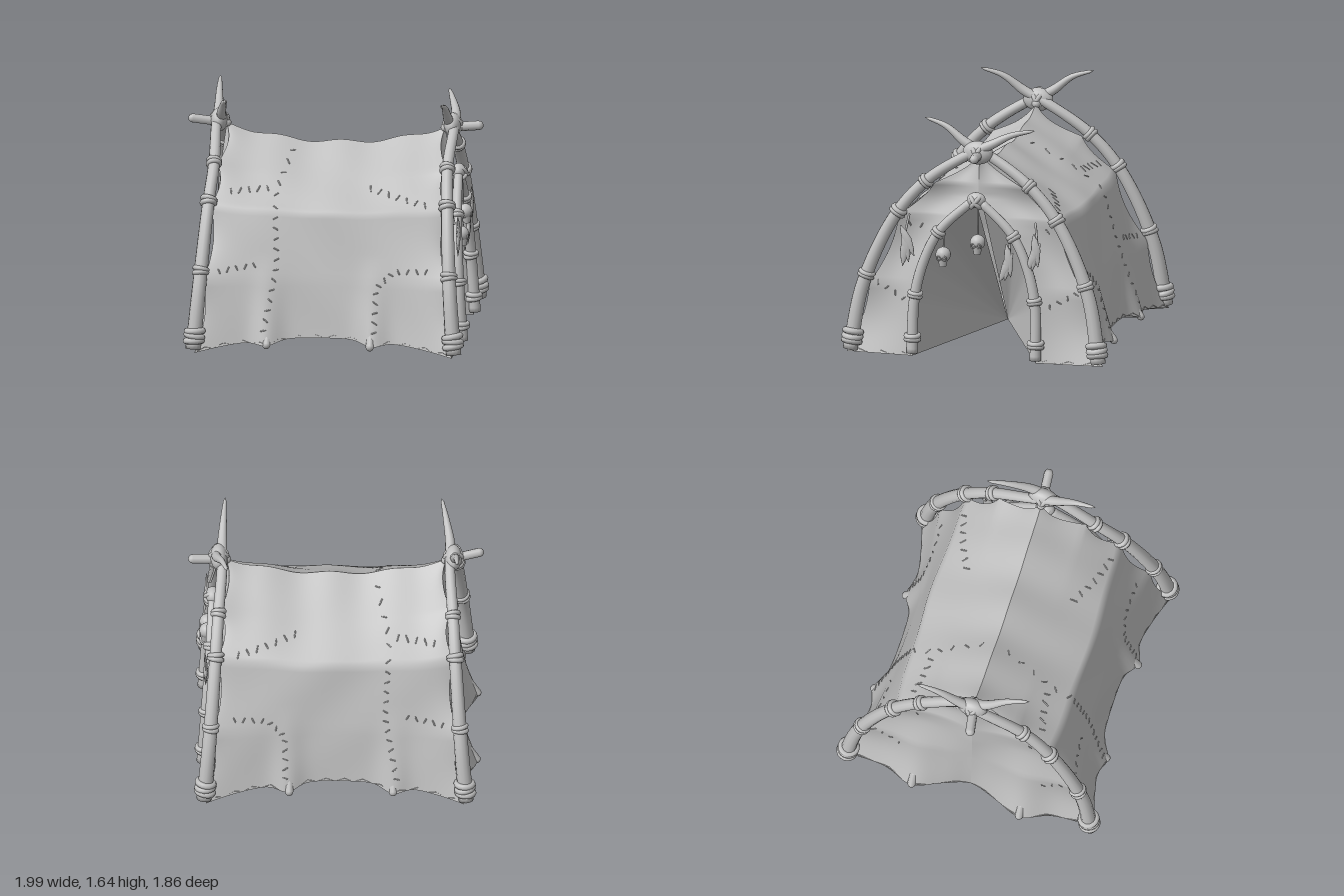
import * as THREE from 'three';
import { mergeVertices, mergeGeometries } from 'three/addons/utils/BufferGeometryUtils.js';

const V = (x, y, z) => new THREE.Vector3(x, y, z);
const lerp = THREE.MathUtils.lerp;
const clamp = THREE.MathUtils.clamp;
const bell = (d, w) => Math.exp(-(d * d) / (w * w));

// Cover cross-section from hem to ridge as [z, y]: mid span and ends, then half length
const MID = [[0.75, 0.12], [0.68, 0.5], [0.575, 0.95], [0.29, 1.13], [0, 1.31]];
const END = [[0.89, 0.03], [0.75, 0.5], [0.54, 0.98], [0.31, 1.21], [0, 1.42]];
const HALF = [[0.87], [0.82], [0.79], [0.77], [0.74]];
const DOOR = [[0.43, 0.02], [0.42, 0.42], [0.36, 0.68], [0.25, 0.9], [0.02, 1.12]];

function row(table, v, k) {
  const f = clamp(v, 0, 1) * 4, i = Math.min(3, Math.floor(f));
  return lerp(table[i][k], table[i + 1][k], f - i);
}

// Point on the long cover: s runs along x (-1..1), v from hem to ridge
function roofPoint(s, v, side) {
  const w = Math.pow(Math.abs(s), 2.2), edge = Math.pow(Math.abs(s), 8);
  const scallop = Math.sin(Math.PI * ((v * 4) % 1)) * edge;
  const x = s * (row(HALF, v, 0) - 0.035 * scallop);
  const low = Math.max(0, 1 - v * 3);
  const tug = bell(x + 0.39, 0.09) + bell(x - 0.32, 0.09);
  let z = lerp(row(MID, v, 0), row(END, v, 0), w) - (v > 0.75 ? 0.05 : 0.025) * scallop;
  z += 0.06 * tug * low + 0.006 * Math.sin(9 * x + 14 * v) * Math.sin(Math.PI * v);
  let y = lerp(row(MID, v, 1), row(END, v, 1), w);
  y += 0.012 * Math.sin(15 * x + 1) * v * v * (1 - edge) - 0.03 * tug * low;
  return V(x, y, side * Math.max(0, z));
}

function doorHalf(y) {
  if (y >= 1.12) return 0;
  for (let i = 0; i < 4; i++) {
    const [a, b] = [DOOR[i], DOOR[i + 1]];
    if (y < b[1]) return lerp(a[0], b[0], clamp((y - a[1]) / (b[1] - a[1]), 0, 1));
  }
  return 0;
}

// Point on an end wall: u runs from the middle (or door edge) to the corner
function wallPoint(e, side, u, v) {
  const c = roofPoint(e, v, 1);
  const inner = e > 0 ? Math.min(c.z, doorHalf(c.y)) : 0;
  const z = lerp(inner, c.z, u), low = Math.max(0, 1 - c.y / 0.8);
  let x = lerp(row(HALF, v, 0), Math.abs(c.x), u);
  if (e < 0) x += (0.09 * bell(z - 0.38, 0.15) - 0.05 * bell(z, 0.12)) * low;
  else x += 0.02 * (1 - u) * low;
  x -= 0.03 * Math.sin(Math.PI * u) * Math.sin(Math.PI * v);
  return V(e * x, c.y, side * z);
}

// Find the height parameter for a given y, then place on the surface
function solve(fn, y) {
  let a = 0, b = 1;
  for (let i = 0; i < 18; i++) {
    const m = (a + b) / 2;
    if (fn(m).y < y) a = m; else b = m;
  }
  return a;
}
function onRoof(x, y, side) {
  const s = clamp(x / 0.8, -1, 1);
  return roofPoint(s, solve(v => roofPoint(s, v, side), y), side);
}
function onWall(z, y, e) {
  const v = solve(t => roofPoint(e, t, 1), y), c = roofPoint(e, v, 1);
  const inner = e > 0 ? doorHalf(y) : 0;
  return wallPoint(e, Math.sign(z) || 1, clamp((Math.abs(z) - inner) / (c.z - inner), 0, 1), v);
}

function sheet(fn, nu, nv) {
  const pos = [], idx = [];
  for (let j = 0; j <= nv; j++) for (let i = 0; i <= nu; i++) pos.push(...fn(i / nu, j / nv).toArray());
  for (let j = 0; j < nv; j++) for (let i = 0; i < nu; i++) {
    const a = j * (nu + 1) + i, b = a + nu + 1;
    idx.push(a, a + 1, b, b, a + 1, b + 1);
  }
  const g = new THREE.BufferGeometry();
  g.setAttribute('position', new THREE.Float32BufferAttribute(pos, 3));
  g.setIndex(idx);
  g.computeVertexNormals();
  return g;
}

// Tube with a radius rule and flat closed ends
function taperTube(curve, radius, seg = 40, sides = 12) {
  const g = new THREE.TubeGeometry(curve, seg, 1, sides, false), p = g.attributes.position, q = V();
  for (let i = 0; i <= seg; i++) {
    const c = curve.getPointAt(i / seg), tip = i === 0 || i === seg;
    for (let j = 0; j <= sides; j++) {
      const k = i * (sides + 1) + j;
      q.fromBufferAttribute(p, k).sub(c).multiplyScalar(tip ? 0.001 : radius(i / seg)).add(c);
      if (i === 0) q.lerp(curve.getPointAt(1 / seg), 0.9);
      p.setXYZ(k, q.x, q.y, q.z);
    }
  }
  g.deleteAttribute('uv');
  g.deleteAttribute('normal');
  const m = mergeVertices(g, 1e-5);
  m.computeVertexNormals();
  return m;
}

export function createModel() {
  const model = new THREE.Group();
  const grey = new THREE.MeshStandardMaterial({ color: 0xc0c0c0, side: THREE.DoubleSide });
  grey.name = 'bone grey';
  const add = (geo, name, pos, parent = model) => {
    const m = new THREE.Mesh(geo, grey);
    m.name = name;
    if (pos) m.position.copy(pos);
    parent.add(m);
    return m;
  };
  const bar = (a, b, r, name) => {
    const m = add(new THREE.CapsuleGeometry(r, a.distanceTo(b), 3, 8), name, a.clone().add(b).multiplyScalar(0.5));
    m.quaternion.setFromUnitVectors(V(0, 1, 0), b.clone().sub(a).normalize());
  };
  // Cord lashing around a pole at a given height
  const lash = (curve, y, r, thick, turns = 2) => {
    let t = 0;
    while (t < 1 && curve.getPointAt(t).y < y) t += 0.005;
    const c = curve.getPointAt(Math.min(t, 1)), d = curve.getTangentAt(Math.min(t, 1));
    for (let i = 0; i < turns; i++) {
      const m = add(new THREE.TorusGeometry(r, thick, 8, 18), 'lashing', c.clone().addScaledVector(d, (i - (turns - 1) / 2) * thick * 1.5));
      m.quaternion.setFromUnitVectors(V(0, 0, 1), d.clone().add(V(0.12 * (i % 2 ? 1 : -1), 0, 0)).normalize());
    }
  };

  // Hide cover and end walls
  for (const side of [1, -1]) {
    add(sheet((u, v) => roofPoint(u * 2 - 1, v, side), 64, 40), 'hideCover');
    for (const e of [1, -1]) add(sheet((u, v) => wallPoint(e, side, u, v), 24, 48), 'endWall');
  }

  // Pleated ground sheet fanning from the centre, open at the doorway
  const centre = V(0, 0.1, 0), rim = [];
  const n = 28;
  for (let i = 0; i <= 6; i++) rim.push(wallPoint(1, 1, i / 6, 0));
  for (let i = 1; i <= n; i++) rim.push(roofPoint(1 - 2 * i / n, 0, 1));
  for (let i = 1; i <= 16; i++) {
    const k = 1 - i / 8;
    rim.push(wallPoint(-1, k < 0 ? -1 : 1, Math.abs(k), 0));
  }
  for (let i = 1; i <= n; i++) rim.push(roofPoint(-1 + 2 * i / n, 0, -1));
  for (let i = 1; i <= 6; i++) rim.push(wallPoint(1, -1, 1 - i / 6, 0));
  rim.forEach((p, i) => { p.y += i % 2 ? 0.022 : 0; });
  const fan = sheet((u, v) => centre.clone().lerp(rim[Math.round(u * (rim.length - 1))], v), rim.length - 1, 1).toNonIndexed();
  fan.computeVertexNormals();
  add(fan, 'groundSheet');

  // Inner doorway lining drawn in from the arch to the centre of the floor
  const top = solve(v => roofPoint(1, v, 1), 1.12);
  for (const side of [1, -1]) {
    add(sheet((u, v) => centre.clone().lerp(wallPoint(1, side, 0, u * top), v), 24, 8), 'doorwayLining');
  }

  for (const e of [1, -1]) {
    // Crossed curved poles with horn tips
    for (const side of [1, -1]) {
      const tipX = side < 0 ? (e > 0 ? 0.75 : 0.71) : (e > 0 ? 0.73 : 0.82);
      const tipY = side > 0 && e > 0 ? 1.6 : 1.655;
      const px = 0.785 + side * 0.018;
      const pole = new THREE.CatmullRomCurve3([
        V(e * 0.885, 0.02, side * 0.87), V(e * 0.845, 0.5, side * 0.785), V(e * 0.81, 0.97, side * 0.575),
        V(e * 0.79, 1.22, side * 0.365), V(e * px, 1.41, side * 0.09), V(e * px, 1.5, side * -0.09),
        V(e * lerp(px, tipX, 0.5), lerp(1.5, tipY, 0.68), side * -0.23), V(e * tipX, tipY, side * -0.38)]);
      add(taperTube(pole, t => t < 0.85 ? lerp(0.052, 0.033, t / 0.85) : lerp(0.033, 0.009, (t - 0.85) / 0.15), 70), 'curvedPole');
      lash(pole, 0.13, 0.053, 0.022, 3);
      lash(pole, 0.56, 0.043, 0.017);
      lash(pole, 1.0, 0.042, 0.018);
      lash(pole, 1.22, 0.038, 0.017);
    }
    // Ridge stub and crossing knot
    bar(V(e * 0.74, 1.42, 0), V(e * 0.965, e > 0 ? 1.435 : 1.455, e > 0 ? -0.02 : 0.04), 0.032, 'ridgeStub');
    add(new THREE.SphereGeometry(0.1, 20, 14), 'crossingKnot', V(e * 0.79, 1.44, 0)).scale.set(0.58, 0.8, 1.05);
    for (const a of [0.6, -0.6]) {
      const ring = add(new THREE.TorusGeometry(0.055, 0.018, 8, 20), 'knotCord', V(e * 0.79, 1.44, 0));
      ring.rotation.x = a;
    }
  }

  // Doorway arch
  for (const side of [1, -1]) {
    const arch = new THREE.CatmullRomCurve3(DOOR.map(([z, y]) => V(lerp(0.9, 0.83, y / 1.12), y, side * z)));
    add(taperTube(arch, t => lerp(0.04, 0.03, t), 40), 'doorArch');
    lash(arch, 0.15, 0.042, 0.018);
    lash(arch, 0.45, 0.038, 0.016);
    lash(arch, 0.88, 0.034, 0.017);
  }
  add(new THREE.SphereGeometry(0.06, 16, 12), 'archKnot', V(0.83, 1.12, 0)).scale.set(0.8, 0.9, 1.1);
  for (const a of [0.7, -0.7]) add(new THREE.TorusGeometry(0.05, 0.016, 8, 16), 'archCord', V(0.83, 1.11, 0)).rotation.x = a;

  // Hanging skull charms
  for (const [z, y, hang] of [[0.22, 0.74, 0.92], [-0.02, 0.84, 1.1]]) {
    const skull = new THREE.Group();
    skull.name = 'skullCharm';
    skull.position.set(0.87, y, z);
    model.add(skull);
    add(new THREE.SphereGeometry(0.052, 16, 12), 'cranium', V(0, 0, 0), skull);
    add(new THREE.CylinderGeometry(0.035, 0.024, 0.05, 10), 'jaw', V(0.012, -0.055, 0), skull);
    for (const s of [1, -1]) add(new THREE.TorusGeometry(0.014, 0.005, 6, 12), 'eyeSocket', V(0.046, -0.018, s * 0.02), skull).rotation.y = Math.PI / 2;
    bar(V(0.86, y + 0.04, z), V(0.85, hang, z), 0.006, 'charmString');
  }

  // Hanging feather bundles
  const leaf = new THREE.LatheGeometry([[0.001, -0.2], [0.018, -0.15], [0.03, -0.08], [0.02, -0.02], [0.004, 0.03]].map(p => new THREE.Vector2(...p)), 10);
  for (const [z, y] of [[0.49, 0.87], [-0.24, 0.78], [-0.43, 0.86]]) {
    bar(V(0.85, y, z), V(0.82, y + 0.12, z + Math.sign(z) * -0.02), 0.008, 'featherString');
    for (const a of [-0.28, 0, 0.28]) {
      const f = add(leaf, 'feather', V(0.875, y + a * 0.1, z + a * 0.05));
      f.rotation.x = a + Math.sign(z) * 0.15;
      f.scale.set(0.5, 1, 1.1);
    }
  }

  // Stitched seams: short threads crossing each seam path
  const threads = [];
  const seam = (place, path) => {
    for (let i = 0; i < path.length - 1; i++) {
      const [a, b] = [path[i], path[i + 1]], dx = b[0] - a[0], dy = b[1] - a[1], len = Math.hypot(dx, dy);
      const count = Math.max(1, Math.round(len / 0.065));
      for (let k = 0; k < count; k++) {
        const t = (k + 0.5) / count, h = 0.013, skew = k % 2 ? 0.6 : -0.4;
        const px = (-dy + skew * dx) / len * h, py = (dx + skew * dy) / len * h;
        const x = a[0] + dx * t, y = a[1] + dy * t;
        const p = place(x + px, y + py), q = place(x - px, y - py);
        if (p.distanceTo(q) < 0.005) continue;
        const g = new THREE.CapsuleGeometry(0.005, p.distanceTo(q), 2, 6);
        g.applyQuaternion(new THREE.Quaternion().setFromUnitVectors(V(0, 1, 0), q.clone().sub(p).normalize()));
        const m = p.add(q).multiplyScalar(0.5);
        threads.push(g.translate(m.x, m.y, m.z));
      }
    }
  };
  for (const side of [1, -1]) {
    const roof = (x, y) => onRoof(x, y, side);
    seam(roof, [[-0.29, 1.29], [-0.37, 1.07], [-0.33, 0.6], [-0.39, 0.14]]);
    seam(roof, [[-0.72, 1.05], [-0.4, 1.07]]);
    seam(roof, [[-0.74, 0.55], [-0.45, 0.6]]);
    seam(roof, [[0.25, 1.08], [0.7, 0.99]]);
    seam(roof, [[0.31, 0.14], [0.33, 0.46], [0.45, 0.57], [0.7, 0.58]]);
    for (const e of [1, -1]) {
      const wall = (z, y) => onWall(z, y, e);
      seam(wall, [[side * 0.48, 0.39], [side * 0.72, 0.52]]);
      seam(wall, [[side * 0.36, 0.9], [side * 0.52, 0.92]]);
    }
  }
  add(mergeGeometries(threads), 'seamStitches');

  // Hem pegs
  for (const side of [1, -1]) {
    for (const x of [-0.39, 0.31]) bar(V(x, 0.15, side * 0.77), V(x, 0.08, side * 0.82), 0.028, 'hemPeg');
    bar(V(-0.9, 0.12, side * 0.38), V(-0.95, 0.04, side * 0.38), 0.028, 'hemPeg');
  }
  return model;
}
